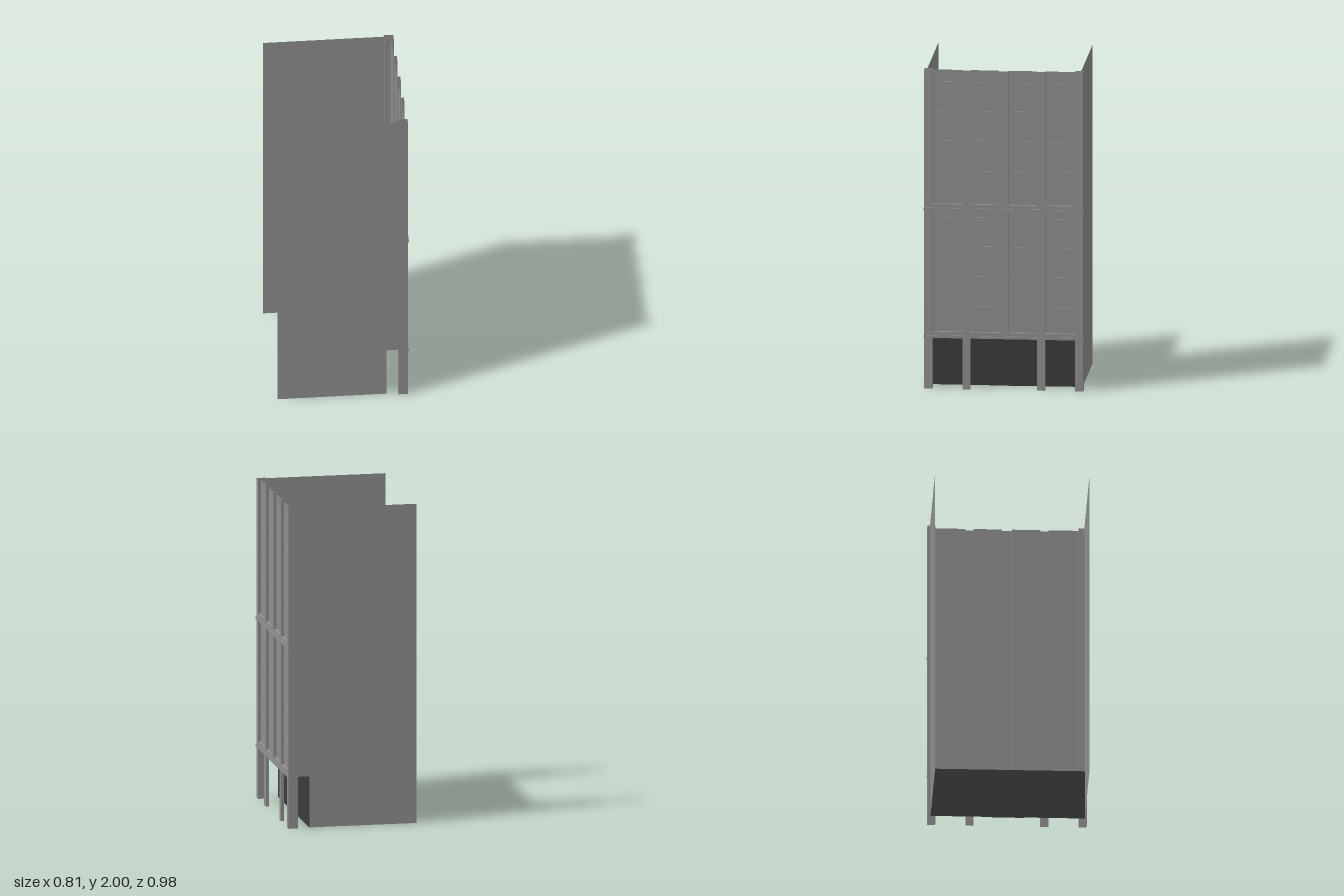
import * as THREE from 'three';

const concrete = new THREE.MeshStandardMaterial({ color: 0x8e8e8e, side: THREE.DoubleSide });
concrete.name = 'concrete grey';
const dark = new THREE.MeshStandardMaterial({ color: 0x3b3b3b, side: THREE.DoubleSide });
dark.name = 'dark shopfront';

const GROUND = 0.32, MID = 1.12, TOP = 2;   // storey levels
const FACE = 0.4, PANEL = 0.38, BACK = 0.267; // x of pilaster face, recessed panel, shopfront
const SIDE = 0.474;                          // z of side walls

export function createModel() {
  const model = new THREE.Group();

  function add(name, geometry, material = concrete) {
    const mesh = new THREE.Mesh(geometry, material);
    mesh.name = name;
    model.add(mesh);
    return mesh;
  }

  // Solid block given by its extents
  function box(name, x0, x1, y0, y1, z0, z1, material) {
    const g = new THREE.BoxGeometry(x1 - x0, y1 - y0, z1 - z0);
    g.translate((x0 + x1) / 2, (y0 + y1) / 2, (z0 + z1) / 2);
    return add(name, g, material);
  }

  // Upright sheet following a plan path of [x, z] points
  function sheet(name, path, y0, y1, material) {
    const pos = [];
    for (let i = 0; i + 1 < path.length; i++) {
      const [ax, az] = path[i], [bx, bz] = path[i + 1];
      pos.push(ax, y0, az, bx, y0, bz, bx, y1, bz, ax, y0, az, bx, y1, bz, ax, y1, az);
    }
    const g = new THREE.BufferGeometry();
    g.setAttribute('position', new THREE.Float32BufferAttribute(pos, 3));
    g.computeVertexNormals();
    return add(name, g, material);
  }

  // Hollow open-ended post
  function tube(name, x0, x1, z0, z1, y0, y1) {
    sheet(name, [[x1, z1], [x1, z0], [x0, z0], [x0, z1], [x1, z1]], y0, y1);
  }

  for (const s of [1, -1]) {
    // Blank side walls, stopping short at the arcade
    sheet('sideWallUpper', s > 0 ? [[-0.405, SIDE], [0.342, SIDE]] : [[0.342, -SIDE], [-0.405, -SIDE]], GROUND, TOP);
    sheet('sideWallLower', s > 0 ? [[-0.405, SIDE], [BACK, SIDE]] : [[BACK, -SIDE], [-0.405, -SIDE]], 0, GROUND);

    // Corner posts
    tube('cornerPost', 0.342, FACE, s > 0 ? 0.44 : -0.49, s > 0 ? 0.49 : -0.44, 0, TOP);

    // Street legs carrying the intermediate pilasters
    tube('arcadeLeg', PANEL, FACE, s * 0.23 - 0.025, s * 0.23 + 0.025, 0, GROUND);
  }

  // Open-backed pilasters
  for (const [z, h] of [[-0.23, 0.025], [0, 0.03], [0.23, 0.025]]) {
    sheet('pilaster', [[PANEL, z + h], [FACE, z + h], [FACE, z - h], [PANEL, z - h]], GROUND, TOP);
  }

  // Four bays of recessed panels, bands and windows
  const bays = [[0.255, 0.44, 0.351], [0.03, 0.205, 0.117], [-0.205, -0.03, -0.112], [-0.44, -0.255, -0.348]];
  const windowRows = [0.465, 0.653, 0.839, 1.02, 1.313, 1.503, 1.69, 1.87];
  for (const [z0, z1, zc] of bays) {
    sheet('recessedPanel', [[PANEL, z1], [PANEL, z0]], GROUND, TOP);
    box('lowerBand', PANEL, FACE, GROUND, 0.358, z0, z1);
    box('middleBand', PANEL, FACE, MID, 1.16, z0, z1);
    for (const y of windowRows) {
      box('window', PANEL, 0.387, y - 0.055, y + 0.055, zc - 0.053, zc + 0.053);
    }
  }

  // Thin string courses across the facade
  for (const y of [GROUND, MID]) box('stringCourse', FACE, 0.406, y, y + 0.016, -0.492, 0.492);

  // Arcade soffit, notched round the posts and legs
  const outline = [[BACK, -SIDE], [0.342, -SIDE], [0.342, -0.44], [FACE, -0.44],
    [FACE, -0.255], [PANEL, -0.255], [PANEL, -0.205], [FACE, -0.205],
    [FACE, 0.205], [PANEL, 0.205], [PANEL, 0.255], [FACE, 0.255],
    [FACE, 0.44], [0.342, 0.44], [0.342, SIDE], [BACK, SIDE]];
  const soffit = new THREE.ShapeGeometry(new THREE.Shape(outline.map(([x, z]) => new THREE.Vector2(x, z))));
  soffit.rotateX(Math.PI / 2).translate(0, GROUND, 0);
  add('arcadeSoffit', soffit);

  // Dark shopfront with double doors and threshold
  sheet('shopfront', [[BACK, SIDE], [BACK, -SIDE]], 0, GROUND, dark);
  for (const z of [-0.048, 0.048]) {
    box('doorLeaf', BACK, BACK + 0.004, 0.004, 0.255, z - 0.046, z + 0.046, dark);
  }
  box('threshold', BACK, BACK + 0.006, 0, 0.006, -0.097, 0.097, dark);

  return model;
}
